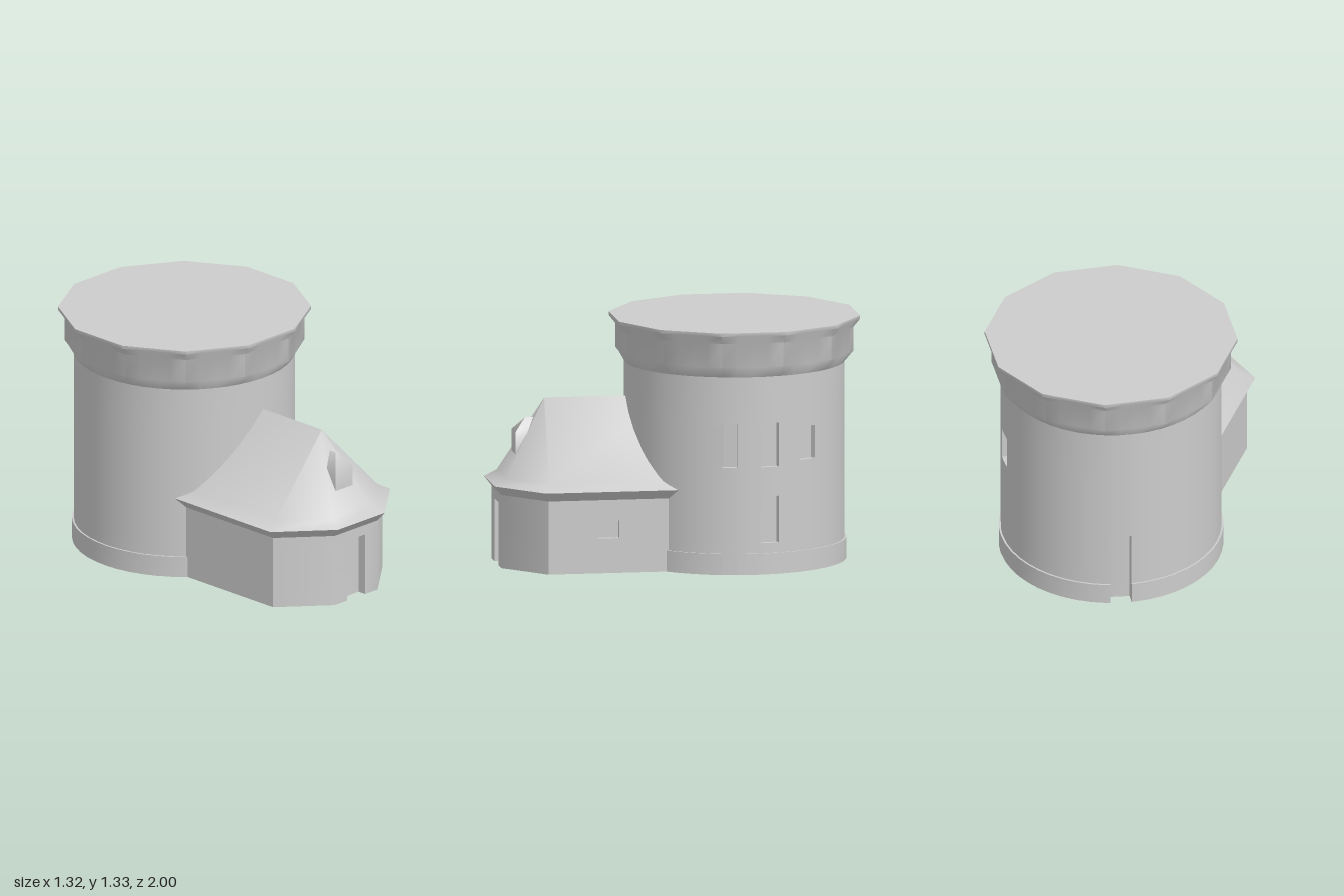
import * as THREE from 'three';
import { toCreasedNormals } from 'three/addons/utils/BufferGeometryUtils.js';

const CZ = -0.34; // tower axis
const rad = THREE.MathUtils.degToRad;
const V = (x, y, z) => new THREE.Vector3(x, y, z);

// Collects quads and triangles, dropping collapsed ones
class Faces {
  points = [];
  tri(a, b, c) {
    const area = b.clone().sub(a).cross(c.clone().sub(a)).length();
    if (area > 1e-8) this.points.push(a, b, c);
  }
  quad(a, b, c, d) {
    this.tri(a, b, c);
    this.tri(a, c, d);
  }
  mesh(name, material) {
    const geo = new THREE.BufferGeometry().setFromPoints(this.points);
    const mesh = new THREE.Mesh(toCreasedNormals(geo, rad(44)), material);
    mesh.name = name;
    return mesh;
  }
}

// Skin between rings of points listed left to right, bottom to top
function loft(rings) {
  const f = new Faces();
  for (let j = 0; j < rings.length - 1; j++) {
    const lo = rings[j], hi = rings[j + 1];
    for (let i = 0; i < lo.length - 1; i++) f.quad(lo[i], lo[i + 1], hi[i + 1], hi[i]);
  }
  return f;
}

// Wall of cells, each with its own depth; steps between cells become jambs, sills and ledges
function reliefWall(us, ys, depthAt, place, floorCentre) {
  const f = new Faces();
  const sortUnique = (a) => [...new Set(a)].sort((p, q) => p - q);
  us = sortUnique(us);
  ys = sortUnique(ys);
  const depth = (i, j) => depthAt((us[i] + us[i + 1]) / 2, (ys[j] + ys[j + 1]) / 2);
  for (let i = 0; i < us.length - 1; i++) {
    const u0 = us[i], u1 = us[i + 1];
    for (let j = 0; j < ys.length - 1; j++) {
      const y0 = ys[j], y1 = ys[j + 1], d = depth(i, j);
      f.quad(place(u0, y0, d), place(u1, y0, d), place(u1, y1, d), place(u0, y1, d));
      if (i < us.length - 2) {
        const r = depth(i + 1, j);
        if (r !== d) f.quad(place(u1, y0, d), place(u1, y0, r), place(u1, y1, r), place(u1, y1, d));
      }
      if (j < ys.length - 2) {
        const t = depth(i, j + 1);
        if (t !== d) f.quad(place(u0, y1, d), place(u1, y1, d), place(u1, y1, t), place(u0, y1, t));
      }
    }
    const d = depth(i, 0);
    f.tri(floorCentre, place(u1, 0, d), place(u0, 0, d));
  }
  return f;
}

// Opening: [u from, u to, y from, y to, depth]
const inside = (o, u, y) => u > o[0] && u < o[1] && y > o[2] && y < o[3];

export function createModel() {
  const group = new THREE.Group();
  const stone = new THREE.MeshStandardMaterial({ color: 0xcccccc });
  stone.name = 'pale grey stone';

  // Round tower wall with plinth, windows and back door (angles run from the front to the left)
  const steps = Array.from({ length: 49 }, (_, i) => i * 7.5);
  const onTower = (deg, y, r) => V(r * Math.sin(rad(deg)), y, CZ + r * Math.cos(rad(deg)));
  const towerOpenings = [
    [74.5, 82.3, 0.585, 0.825, 0.03],
    [94.8, 104.5, 0.585, 0.825, 0.03],
    [94.8, 104.5, 0.17, 0.425, 0.03],
    [117.3, 127.5, 0.61, 0.79, 0.03],
    [197.5, 208.5, 0, 0.42, 0.05],
  ];
  group.add(reliefWall(
    [...steps, ...towerOpenings.flatMap((o) => [o[0], o[1]])],
    [0, 0.115, 1.08, ...towerOpenings.flatMap((o) => [o[2], o[3]])],
    (u, y) => {
      const o = towerOpenings.find((e) => inside(e, u, y));
      return o ? o[4] : y < 0.115 ? -0.01 : 0;
    },
    (u, y, d) => onTower(u, y, 0.597 - d),
    V(0, 0, CZ),
  ).mesh('towerWall', stone));

  // Twelve-sided cornice growing out of the round wall, closed by a flat roof
  const twelve = (deg, apothem) => apothem / Math.cos(rad(((deg + 15) % 30) - 15));
  const cornice = [[0.625, 1.14], [0.625, 1.27], [0.66, 1.315], [0.66, 1.333]]
    .map(([a, y]) => steps.map((s) => onTower(s, y, twelve(s, a))));
  cornice.unshift(steps.map((s) => onTower(s, 1.08, 0.597)));
  cornice.push(steps.map(() => V(0, 1.333, CZ)));
  group.add(loft(cornice).mesh('cornice', stone));

  // Half-octagon outline of the annex
  const outline = (y, side, chamferZ, front, frontZ, back = 0) => [
    V(-side, y, back), V(-side, y, chamferZ), V(-front, y, frontZ),
    V(front, y, frontZ), V(side, y, chamferZ), V(side, y, back),
  ];
  const plan = outline(0, 0.42, 0.745, 0.165, 0.96);

  // Annex walls with front door and one side window (u counts along the outline's edges)
  const annexOpenings = [
    [2.288, 2.712, 0, 0.345, 0.05],
    [4.369, 4.517, 0.19, 0.285, 0.03],
  ];
  const onAnnex = (u, y, d) => {
    const k = Math.min(Math.floor(u), 4);
    const edge = plan[k + 1].clone().sub(plan[k]).normalize();
    const p = plan[k].clone().lerp(plan[k + 1], u - k);
    return V(p.x + edge.z * d, y, p.z - edge.x * d);
  };
  group.add(reliefWall(
    [0, 1, 2, 3, 4, 5, ...annexOpenings.flatMap((o) => [o[0], o[1]])],
    [0, 0.4, ...annexOpenings.flatMap((o) => [o[2], o[3]])],
    (u, y) => annexOpenings.find((e) => inside(e, u, y))?.[4] ?? 0,
    onAnnex,
    V(0, 0, 0.1),
  ).mesh('annexWall', stone));

  // Hipped annex roof with flared eaves
  group.add(loft([
    outline(0.4, 0.42, 0.745, 0.165, 0.96),
    outline(0.45, 0.46, 0.765, 0.18, 1.0),
    outline(0.49, 0.39, 0.735, 0.15, 0.935),
    outline(0.9, 0, 0.7, 0, 0.7),
  ]).mesh('annexRoof', stone));

  // Small hipped dormer on the front slope
  const dormerRing = (y, w, front) => [V(-w, y, 0.7), V(-w, y, front), V(w, y, front), V(w, y, 0.7)];
  group.add(loft([
    dormerRing(0.59, 0.065, 0.868),
    dormerRing(0.723, 0.065, 0.868),
    dormerRing(0.795, 0, 0.805),
  ]).mesh('dormer', stone));

  return group;
}
